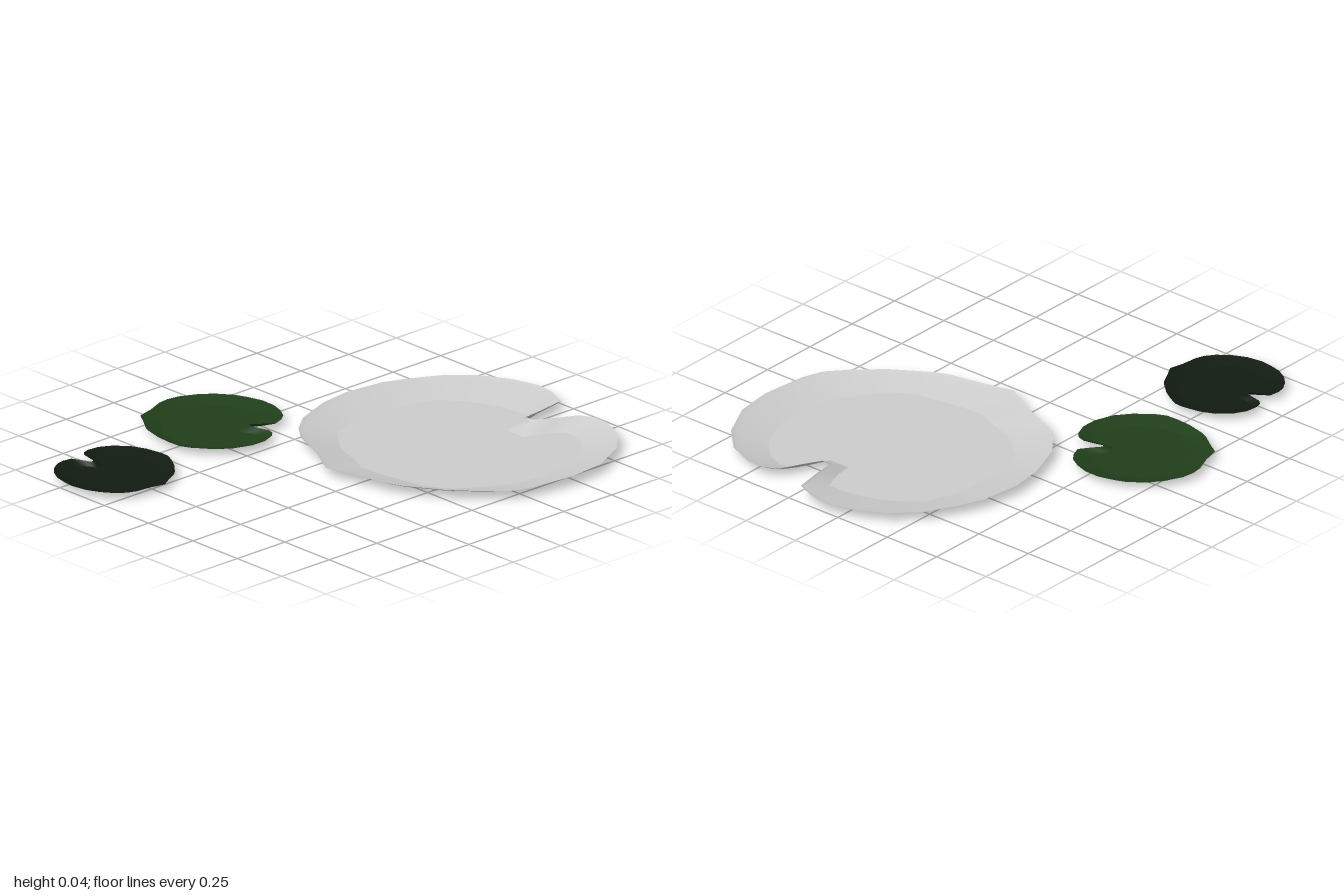
import * as THREE from 'three';

// Leaf stations, counter-clockwise from the notch: rim x, rim z, floor x, floor z
const LEAF = [
  [.74, .26, .66, .24], [.83, .25, .73, .23], [.95, .23, .82, .20], [.99, .14, .82, .12],
  [1, .05, .81, .05], [.97, -.06, .78, -.03], [.91, -.17, .74, -.10], [.81, -.27, .68, -.17],
  [.68, -.34, .58, -.21], [.58, -.38, .51, -.225], [.41, -.40, .40, -.23], [.27, -.38, .27, -.225],
  [.11, -.32, .17, -.19], [.02, -.25, .11, -.12], [-.04, -.17, .06, -.05], [-.10, -.02, .03, .05],
  [-.18, .12, -.01, .14], [-.15, .24, 0, .25], [-.12, .39, .02, .36], [-.09, .46, .03, .43],
  [0, .60, .09, .53], [.09, .70, .16, .58], [.18, .78, .24, .63], [.27, .81, .31, .66],
  [.46, .83, .45, .68], [.62, .81, .58, .66], [.78, .73, .70, .61], [.88, .63, .78, .53],
  [.93, .51, .81, .46], [.93, .44, .81, .42], [.90, .385, .79, .39], [.81, .34, .73, .36],
  [.74, .30, .66, .33],
];
const CENTER = { x: .41, y: .02, z: .215 };

// Upturned border: rings blended from rim (t = 0) to floor (t = 1)
function borderGeometry() {
  const rings = [[0, .04], [.12, .032], [1, 0]];
  const n = LEAF.length, pos = [], index = [];
  for (const [t, y] of rings) {
    for (const [ox, oz, ix, iz] of LEAF) {
      pos.push(ox + (ix - ox) * t - CENTER.x, y - CENTER.y, oz + (iz - oz) * t - CENTER.z);
    }
  }
  for (let r = 0; r < rings.length - 1; r++) {
    for (let i = 0; i < n; i++) {
      const a = r * n + i, b = r * n + (i + 1) % n;
      index.push(a, b, b + n, a, b + n, a + n);
    }
  }
  const geo = new THREE.BufferGeometry();
  geo.setAttribute('position', new THREE.Float32BufferAttribute(pos, 3));
  geo.setIndex(index);
  geo.computeVertexNormals();
  return geo;
}

// Flat middle of the leaf
function floorGeometry() {
  const shape = new THREE.Shape(LEAF.map(([, , x, z]) => new THREE.Vector2(x - CENTER.x, CENTER.z - z)));
  return new THREE.ShapeGeometry(shape).rotateX(-Math.PI / 2).translate(0, -CENTER.y, 0);
}

export function createModel() {
  const model = new THREE.Group();
  model.name = 'lilyPads';
  const border = borderGeometry(), floor = floorGeometry();

  const pads = [
    { name: 'largePad', x: CENTER.x, z: CENTER.z, scale: 1, turn: 0, color: 0xcccccc },
    { name: 'mediumPad', x: -.157, z: -.553, scale: .465, turn: -46, color: 0x203e1a },
    { name: 'smallPad', x: -.757, z: -.433, scale: .394, turn: 106, color: 0x111b11 },
  ];
  for (const p of pads) {
    const material = new THREE.MeshStandardMaterial({ color: p.color, side: THREE.DoubleSide });
    const pad = new THREE.Group();
    pad.name = p.name;
    for (const [name, geo] of [['leafBorder', border], ['leafFloor', floor]]) {
      const mesh = new THREE.Mesh(geo, material);
      mesh.name = name;
      pad.add(mesh);
    }
    pad.position.set(p.x, CENTER.y, p.z);
    pad.rotation.y = THREE.MathUtils.degToRad(p.turn);
    pad.scale.setScalar(p.scale);
    model.add(pad);
  }
  return model;
}
